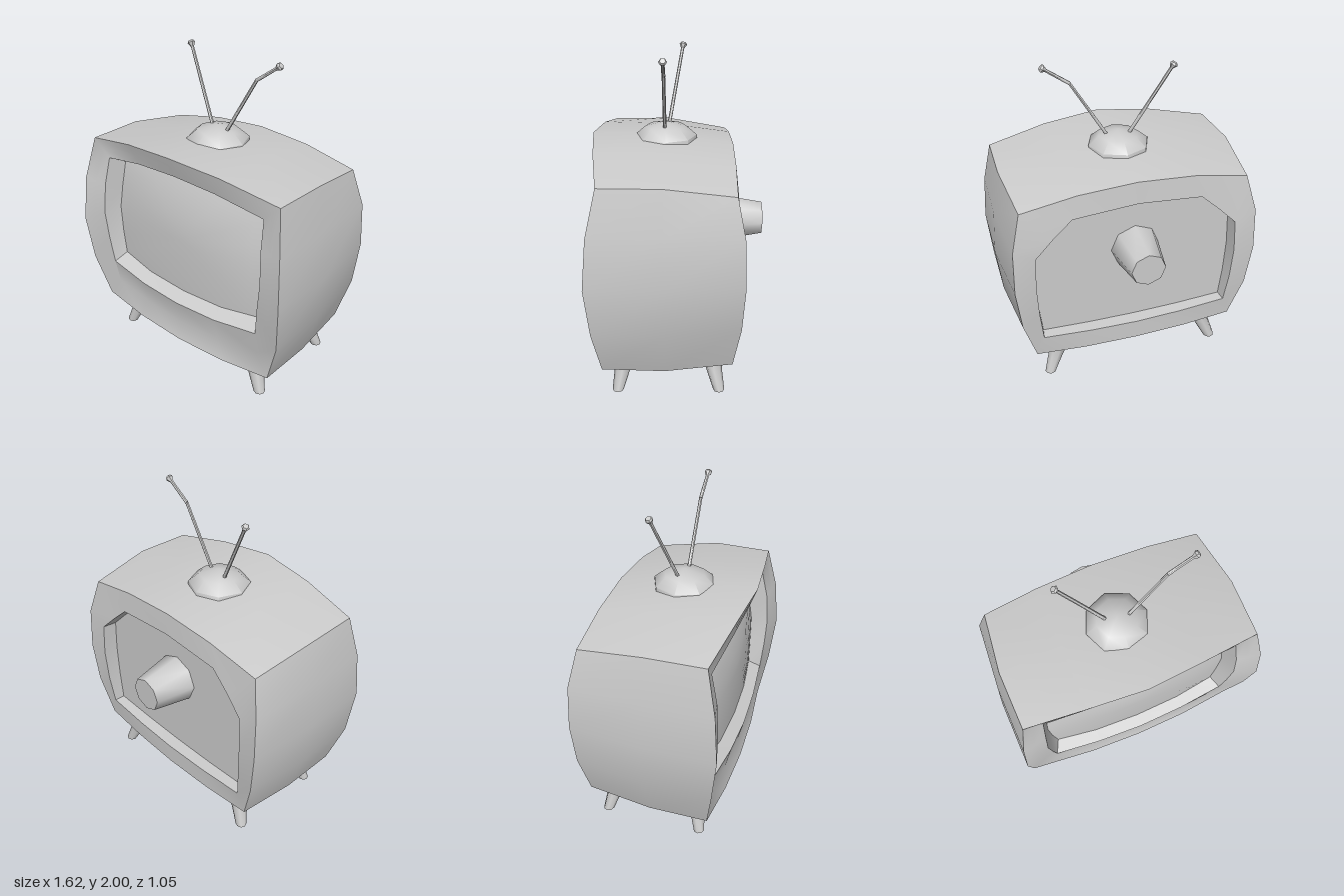
import * as THREE from 'three';
import { toCreasedNormals } from 'three/addons/utils/BufferGeometryUtils.js';

const V = (x, y, z) => new THREE.Vector3(x, y, z);
const material = new THREE.MeshStandardMaterial({ color: 0xcccccc });

function addMesh(parent, name, geometry, crease = 0.6) {
  const mesh = new THREE.Mesh(toCreasedNormals(geometry, crease), material);
  mesh.name = name;
  parent.add(mesh);
  return mesh;
}

// Skins a row of equal-length rings (clockwise seen from the last ring's side)
function loft(rings, capStart, capEnd) {
  const pos = [];
  const tri = (...pts) => pts.forEach((p) => pos.push(p.x, p.y, p.z));
  const n = rings[0].length;
  const centre = (ring) => ring.reduce((s, p) => s.add(p), V(0, 0, 0)).divideScalar(n);
  const first = rings[0], last = rings[rings.length - 1];
  const c0 = centre(first), c1 = centre(last);
  for (let j = 0; j < n; j++) {
    const k = (j + 1) % n;
    for (let i = 0; i + 1 < rings.length; i++) {
      const a = rings[i], b = rings[i + 1];
      tri(a[j], b[j], b[k]);
      tri(a[j], b[k], a[k]);
    }
    if (capStart) tri(c0, first[j], first[k]);
    if (capEnd) tri(c1, last[k], last[j]);
  }
  const g = new THREE.BufferGeometry();
  g.setAttribute('position', new THREE.Float32BufferAttribute(pos, 3));
  return g;
}

// Half outline from top centre down the left side to bottom centre, mirrored
function outline(half) {
  const side = half.map((p) => V(...p));
  const other = side.slice(1, -1).reverse().map((p) => V(-p.x, p.y, p.z));
  return [...side, ...other];
}

// Cabinet cross-sections
const backOpening = outline([
  [0, 1.26, -0.345], [0.4, 1.23, -0.345], [0.52, 1.12, -0.35], [0.63, 1.01, -0.36], [0.64, 0.8, -0.365],
  [0.63, 0.58, -0.355], [0.61, 0.38, -0.335], [0.3, 0.365, -0.345], [0, 0.36, -0.35]]);
const backRim = outline([
  [0, 1.4, -0.335], [0.36, 1.375, -0.33], [0.7, 1.31, -0.32], [0.76, 1.08, -0.365], [0.77, 0.8, -0.375],
  [0.74, 0.52, -0.36], [0.66, 0.24, -0.32], [0.34, 0.23, -0.34], [0, 0.23, -0.35]]);
const middle = outline([
  [0, 1.46, 0.08], [0.36, 1.43, 0.08], [0.74, 1.37, 0.08], [0.79, 1.1, 0.08], [0.81, 0.8, 0.08],
  [0.78, 0.5, 0.08], [0.68, 0.205, 0.08], [0.35, 0.185, 0.08], [0, 0.18, 0.08]]);
const frontRim = outline([
  [0, 1.47, 0.525], [0.36, 1.44, 0.49], [0.73, 1.37, 0.44], [0.78, 1.1, 0.5], [0.8, 0.8, 0.525],
  [0.775, 0.5, 0.495], [0.685, 0.22, 0.45], [0.35, 0.195, 0.48], [0, 0.185, 0.49]]);
const frontOpening = outline([
  [0, 1.34, 0.48], [0.3, 1.32, 0.465], [0.615, 1.26, 0.43], [0.63, 1.08, 0.47], [0.64, 0.88, 0.485],
  [0.62, 0.7, 0.48], [0.6, 0.515, 0.465], [0.3, 0.48, 0.49], [0, 0.47, 0.5]]);
const screenRim = outline([
  [0, 1.29, 0.37], [0.3, 1.265, 0.36], [0.58, 1.21, 0.33], [0.59, 1.05, 0.36], [0.6, 0.9, 0.38],
  [0.585, 0.72, 0.385], [0.56, 0.57, 0.39], [0.3, 0.535, 0.42], [0, 0.525, 0.43]]);

function addCabinet(parent) {
  // Crease across the lower bezel, below the screen ledge
  const bezel = frontRim.map((p, i) => p.clone().lerp(frontOpening[i], 0.5));
  const groove = { 6: [0.585, 0.36, 0.445], 7: [0.3, 0.32, 0.455], 8: [0, 0.3, 0.46] };
  for (const [i, [x, y, z]] of Object.entries(groove)) {
    bezel[i].set(x, y, z);
    bezel[16 - i].set(-x, y, z);
  }
  const panel = backOpening.map((p) => V(p.x * 0.985, 0.82 + (p.y - 0.82) * 0.985, -0.27));
  addMesh(parent, 'cabinet',
    loft([panel, backOpening, backRim, middle, frontRim, bezel, frontOpening, screenRim], true, false));

  // Bulging screen from shrinking rings
  const centre = V(0, 0.9, 0.44);
  const rings = [1, 0.85, 0.65, 0.4, 0.15].map((s) => screenRim.map((p) => {
    const q = centre.clone().lerp(p, s);
    q.z = p.z + (centre.z - p.z) * (1 - s * s);
    return q;
  }));
  addMesh(parent, 'screen', loft(rings, false, true), 1);
}

// Bent, tapering leg
function addLeg(parent, name, sx, zs) {
  const sections = [[0.57, 0, 0.036, zs[2]], [0.525, 0.11, 0.05, zs[1]], [0.49, 0.2, 0.062, zs[0]], [0.48, 0.26, 0.065, zs[0]]];
  const rings = sections.map(([x, y, r, z]) => Array.from({ length: 8 }, (_, i) => {
    const a = (i / 8) * Math.PI * 2;
    return V(sx * x + r * Math.cos(a), y, z + r * 0.95 * Math.sin(a));
  }));
  addMesh(parent, name, loft(rings, true, true), 0.9);
}

// Rod through a list of points with a flared tip
function addAntenna(parent, name, points) {
  const group = new THREE.Group();
  group.name = name;
  const up = V(0, 1, 0);
  const dir = V(0, 0, 0);
  for (let i = 0; i + 1 < points.length; i++) {
    const a = points[i], b = points[i + 1];
    dir.subVectors(b, a);
    const rod = addMesh(group, 'rod', new THREE.CylinderGeometry(0.01, 0.011, dir.length(), 6), 1.2);
    rod.position.addVectors(a, b).multiplyScalar(0.5);
    rod.quaternion.setFromUnitVectors(up, dir.normalize());
  }
  const profile = [[0, -0.02], [0.01, -0.02], [0.024, 0.006], [0.017, 0.018], [0, 0.022]];
  const tip = addMesh(group, 'tip', new THREE.LatheGeometry(profile.map((p) => new THREE.Vector2(...p)), 6));
  tip.position.copy(points[points.length - 1]);
  tip.quaternion.setFromUnitVectors(up, dir);
  parent.add(group);
}

export function createModel() {
  const model = new THREE.Group();
  model.name = 'television';
  addCabinet(model);

  // Tube housing on the back
  const housing = addMesh(model, 'tubeHousing', new THREE.CylinderGeometry(0.107, 0.155, 0.27, 8), 0.9);
  housing.rotation.x = -Math.PI / 2;
  housing.position.set(-0.005, 0.905, -0.39);

  // Antenna base
  const dome = [[0.19, 1.4], [0.19, 1.455], [0.125, 1.51], [0, 1.54]].map((p) => new THREE.Vector2(...p));
  addMesh(model, 'antennaBase', new THREE.LatheGeometry(dome, 8), 0.9).position.set(-0.01, 0, 0.08);

  addAntenna(model, 'rightAntenna', [V(-0.07, 1.51, 0.06), V(-0.31, 1.95, -0.025)]);
  addAntenna(model, 'leftAntenna', [V(0.06, 1.51, 0.085), V(0.28, 1.87, 0.085), V(0.43, 1.975, 0.085)]);

  for (const [side, sx] of [['Left', 1], ['Right', -1]]) {
    addLeg(model, 'front' + side + 'Leg', sx, [0.33, 0.345, 0.37]);
    addLeg(model, 'rear' + side + 'Leg', sx, [-0.205, -0.22, -0.247]);
  }
  return model;
}
